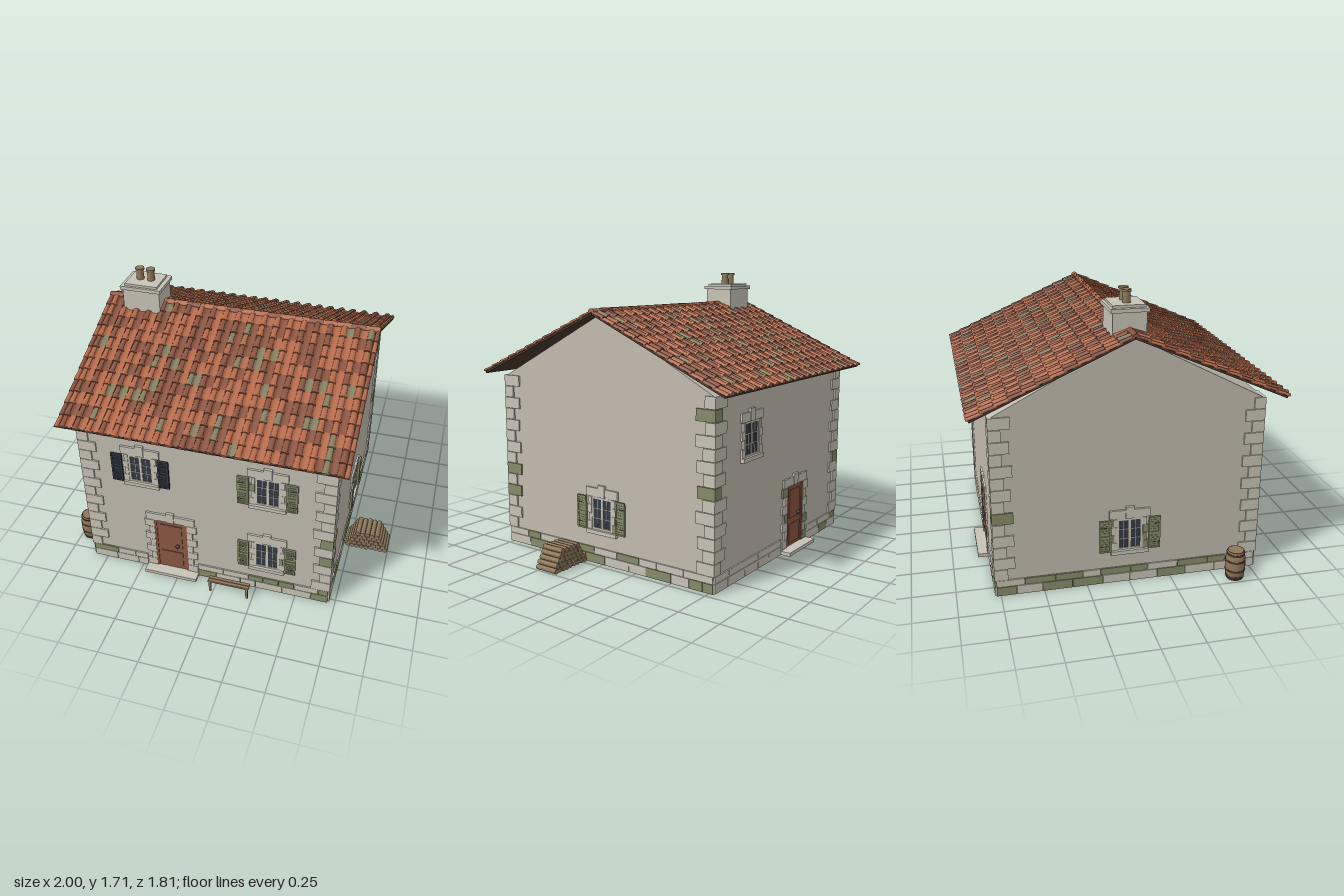
import * as THREE from 'three';
import { mergeGeometries } from 'three/addons/utils/BufferGeometryUtils.js';

const mat = (name, color, extra = {}) => Object.assign(new THREE.MeshStandardMaterial({ color, ...extra }), { name });
const shell = { side: THREE.DoubleSide };

export function createModel() {
  const M = {
    plaster: mat('plaster', 0xc2bbae), stone: mat('stone', 0xc8c3b6), moss: mat('mossGreen', 0x878c69),
    tileA: mat('terracotta', 0xb3694a, shell), tileB: mat('darkTerracotta', 0x8a5340, shell),
    tileC: mat('lichenTile', 0x857d60, shell), wood: mat('wood', 0x8e785a), door: mat('doorPaint', 0x8a5644),
    slate: mat('slateBlue', 0x333b46), dark: mat('darkTimber', 0x4a362b),
  };
  let seed = 7;
  const rnd = () => (seed = (seed * 16807) % 2147483647) / 2147483647;
  const stoneMat = () => (rnd() < 0.1 ? M.moss : M.stone);

  const mesh = (parent, name, geo, material, x = 0, y = 0, z = 0) => {
    const m = new THREE.Mesh(geo, material);
    m.name = name;
    m.position.set(x, y, z);
    parent.add(m);
    return m;
  };
  // box given by its minimum and maximum corners
  const box = (parent, name, material, x0, x1, y0, y1, z0, z1) =>
    mesh(parent, name, new THREE.BoxGeometry(x1 - x0, y1 - y0, z1 - z0), material,
      (x0 + x1) / 2, (y0 + y1) / 2, (z0 + z1) / 2);
  const group = (parent, name, x = 0, y = 0, z = 0, ry = 0) => {
    const g = new THREE.Group();
    g.name = name;
    g.position.set(x, y, z);
    g.rotation.y = ry;
    parent.add(g);
    return g;
  };

  const root = group(new THREE.Group(), 'cottage');
  root.removeFromParent();
  const CX = -0.065, HX = 0.77, HZ = 0.775, RIDGE = 1.485;

  // Gabled walls
  const gable = new THREE.Shape([[-HZ, 0], [HZ, 0], [HZ, 1.08], [0, RIDGE], [-HZ, 1.08]].map(p => new THREE.Vector2(...p)));
  const wallGeo = new THREE.ExtrudeGeometry(gable, { depth: HX * 2, bevelEnabled: false });
  wallGeo.rotateY(-Math.PI / 2).translate(CX + HX, 0, 0);
  mesh(root, 'walls', wallGeo, M.plaster);

  // One group per face, each with its own outward +z
  const front = group(root, 'frontFace', CX, 0, HZ);
  const back = group(root, 'backFace', CX, 0, -HZ, Math.PI);
  const right = group(root, 'rightFace', CX + HX, 0, 0, Math.PI / 2);
  const left = group(root, 'leftFace', CX - HX, 0, 0, -Math.PI / 2);

  // Two plinth courses of random stones
  const plinth = (face, a, b) => {
    [[0, 0.054], [0.057, 0.097]].forEach(([y0, y1]) => {
      let x = a;
      while (x < b - 0.001) {
        let e = x + 0.09 + rnd() * 0.1;
        if (e > b - 0.06) e = b;
        box(face, 'plinthStone', rnd() < 0.3 ? M.moss : M.stone, x + 0.0015, e - 0.0015, y0, y1, -0.01, 0.009);
        x = e;
      }
    });
  };

  // Alternating corner stones
  for (const sx of [-1, 1]) for (const sz of [-1, 1]) {
    const n = 14, h = (1.085 - 0.098) / n;
    for (let i = 0; i < n; i++) {
      const wide = (i + (sx * sz > 0 ? 1 : 0)) % 2;
      const w = (wide ? 0.11 : 0.065) + rnd() * 0.015, d = (wide ? 0.065 : 0.11) + rnd() * 0.015;
      mesh(root, 'cornerStone', new THREE.BoxGeometry(w, h - 0.003, d), stoneMat(),
        CX + sx * (HX + 0.01 - w / 2), 0.098 + (i + 0.5) * h, sz * (HZ + 0.01 - d / 2));
    }
  }

  // Stone surround: alternating jambs, lintel and keystone
  const surround = (g, half, y0, y1, n, narrow, wide, lintel) => {
    const h = (y1 - y0) / n;
    for (const s of [-1, 1]) for (let i = 0; i < n; i++) {
      const w = i % 2 ? narrow : wide, x = s * (half + w / 2);
      box(g, 'jambStone', stoneMat(), x - w / 2, x + w / 2, y0 + i * h + 0.001, y0 + (i + 1) * h - 0.001, -0.01, 0.012);
    }
    for (const s of [-1, 1]) box(g, 'lintel', M.stone, s < 0 ? -lintel : 0.026, s < 0 ? -0.026 : lintel, y1 + 0.002, y1 + 0.055, -0.01, 0.012);
    box(g, 'keystone', M.stone, -0.025, 0.025, y1 + 0.002, y1 + 0.075, -0.01, 0.016);
  };

  const shutter = (g, material, s) => {
    const b = group(g, 'shutter', s * 0.145, 0, 0.012);
    box(b, 'shutterBoard', material, -0.034, 0.034, 0, 0.2, 0, 0.008);
    for (const x of [-0.029, 0.029]) box(b, 'shutterStile', material, x - 0.005, x + 0.005, 0, 0.2, 0.008, 0.013);
    for (const y of [0.005, 0.1, 0.195]) box(b, 'shutterRail', material, -0.024, 0.024, y - 0.005, y + 0.005, 0.008, 0.013);
    for (let i = 0; i < 12; i++) {
      const y = 0.02 + i * 0.0145;
      if (Math.abs(y - 0.1) > 0.008) box(b, 'louvre', material, -0.024, 0.024, y - 0.003, y + 0.003, 0.008, 0.011);
    }
    for (const y of [0.04, 0.16]) box(b, 'hinge', M.slate, s * 0.012 - 0.018, s * 0.012 + 0.018, y - 0.002, y + 0.002, 0.013, 0.015);
  };

  // Window with two casements of three panes each
  const windowAt = (face, x, y, shutterMat) => {
    const g = group(face, 'window', x, y, 0);
    surround(g, 0.077, 0, 0.2, 4, 0.022, 0.036, 0.12);
    box(g, 'sill', M.stone, -0.112, 0.112, -0.024, 0, -0.01, 0.024);
    box(g, 'glass', M.slate, -0.077, 0.077, 0, 0.2, -0.005, 0.003);
    for (const x of [-0.071, 0, 0.071]) box(g, 'windowStile', M.stone, x - 0.007, x + 0.007, 0, 0.2, 0, 0.008);
    for (const y of [0.006, 0.194]) box(g, 'windowRail', M.stone, -0.077, 0.077, y - 0.006, y + 0.006, 0, 0.008);
    for (const y of [0.07, 0.13]) box(g, 'glazingBar', M.stone, -0.077, 0.077, y - 0.0018, y + 0.0018, 0, 0.006);
    for (const x of [-0.035, 0.035]) box(g, 'glazingBar', M.stone, x - 0.0015, x + 0.0015, 0, 0.2, 0, 0.006);
    if (shutterMat) for (const s of [-1, 1]) shutter(g, shutterMat, s);
  };

  const doorAt = (face, x) => {
    const g = group(face, 'doorway', x, 0, 0);
    surround(g, 0.105, 0.025, 0.412, 7, 0.035, 0.062, 0.156);
    box(g, 'door', M.door, -0.105, 0.105, 0.025, 0.412, -0.01, 0.004);
    for (const s of [-1, 1]) box(g, 'doorFrame', M.door, s * 0.098 - 0.007, s * 0.098 + 0.007, 0.025, 0.412, 0.004, 0.009);
    for (const [y0, y1] of [[0.045, 0.165], [0.205, 0.385]]) box(g, 'doorPanel', M.door, -0.07, 0.07, y0, y1, 0.004, 0.009);
    mesh(g, 'doorKnob', new THREE.SphereGeometry(0.013, 12, 8), M.slate, 0.04, 0.225, 0.015);
    box(g, 'doorstep', M.stone, -0.17, 0.17, 0, 0.022, 0, 0.07);
  };

  doorAt(front, -0.23);
  plinth(front, -HX, -0.4);
  plinth(front, -0.062, HX);
  windowAt(front, -0.39, 0.7, M.slate);
  windowAt(front, 0.383, 0.7, M.moss);
  windowAt(front, 0.383, 0.195, M.moss);
  doorAt(back, 0.16);
  plinth(back, -HX, -0.01);
  plinth(back, 0.33, HX);
  windowAt(back, -0.39, 0.7, null);
  for (const face of [right, left]) {
    plinth(face, -HZ, HZ);
    windowAt(face, 0, 0.21, M.moss);
  }

  // Roof: boards with alternating rows of cover and pan tiles
  const ANG = Math.atan(0.395 / 0.885), LEN = 0.969, ROWS = 12, P = LEN / ROWS, COLS = 20;
  const halfRound = (rTop, rLow, len, up) => new THREE.CylinderGeometry(rLow, rTop, len, 6, 1, !up, up ? Math.PI / 2 : -Math.PI / 2, Math.PI).rotateX(Math.PI / 2);
  const cover = halfRound(0.018, 0.023, P * 1.2, true).rotateX(-0.05);
  const pan = halfRound(0.026, 0.023, P * 1.2, false).scale(1, 0.6, 1).rotateX(-0.05);
  const verge = halfRound(0.012, 0.015, P * 1.2, true).rotateX(-0.05);
  const pick = () => { const r = rnd(); return r < 0.55 ? 'tileA' : r < 0.9 ? 'tileB' : 'tileC'; };
  for (const [side, ry] of [['front', 0], ['back', Math.PI]]) {
    const slope = group(group(root, side + 'Roof', CX, RIDGE, 0, ry), 'slope');
    slope.rotation.x = ANG;
    box(slope, 'roofBoard', M.dark, -0.845, 0.845, 0, 0.012, 0, LEN - 0.005);
    const bins = { tileA: [], tileB: [], tileC: [] };
    const put = (geo, x, y, z, key = pick()) => bins[key].push(geo.clone().translate(x, y, z));
    const pitch = 1.6 / COLS;
    for (let r = 0; r < ROWS; r++) {
      for (let c = 0; c <= COLS; c++) {
        const x = -0.8 + c * pitch;
        put(cover, x, 0.014, (r + 0.45) * P);
        if (c < COLS) put(pan, x + pitch / 2, 0.03, (r + 0.3) * P);
      }
      for (const s of [-1, 1]) put(verge, s * 0.835, 0.014, (r + 0.45) * P, r % 2 ? 'tileA' : 'tileB');
    }
    for (const key in bins) mesh(slope, 'roofTiles', mergeGeometries(bins[key]), M[key]);
  }
  const ridgeGeo = halfRound(0.019, 0.022, 0.09, true).rotateY(Math.PI / 2);
  for (let i = 0; i < 20; i++) mesh(root, 'ridgeTile', ridgeGeo, i % 3 ? M.tileA : M.tileB, CX - 0.803 + i * 0.0845, 1.499, 0);

  // Chimney
  const chimney = group(root, 'chimney', -0.668, 0, 0);
  box(chimney, 'chimneyStack', M.stone, -0.117, 0.117, 1.4, 1.605, -0.095, 0.095);
  box(chimney, 'chimneyCap', M.stone, -0.129, 0.129, 1.6, 1.622, -0.107, 0.107);
  box(chimney, 'chimneyTop', M.stone, -0.103, 0.103, 1.622, 1.636, -0.092, 0.092);
  for (const x of [-0.035, 0.035]) {
    mesh(chimney, 'chimneyPot', new THREE.CylinderGeometry(0.021, 0.024, 0.07, 14), M.wood, x, 1.67, 0);
    mesh(chimney, 'potRim', new THREE.CylinderGeometry(0.028, 0.028, 0.012, 14), M.wood, x, 1.703, 0);
  }

  // Barrel
  const barrel = group(root, 'barrel', -0.938, 0, 0.62);
  const staves = [[0, 0], [0.05, 0], [0.057, 0.045], [0.06, 0.09], [0.057, 0.135], [0.05, 0.18], [0.045, 0.18], [0.045, 0.172], [0, 0.172]];
  mesh(barrel, 'staves', new THREE.LatheGeometry(staves.map(p => new THREE.Vector2(...p)), 18), M.wood);
  for (const [y, r] of [[0.018, 0.0545], [0.06, 0.0595], [0.12, 0.0595], [0.162, 0.0545]])
    mesh(barrel, 'hoop', new THREE.CylinderGeometry(r, r, 0.012, 18), M.dark, 0, y, 0);

  // Stacked logs
  const logs = group(root, 'woodpile', 0, 0, 0.195);
  const logGeo = new THREE.CylinderGeometry(0.0155, 0.0155, 0.15, 9).rotateX(Math.PI / 2);
  for (let r = 0; r < 5; r++) for (let i = 0; i < 9 - r; i++) {
    const x = 0.984 - r * 0.0155 - i * 0.031;
    mesh(logs, 'log', logGeo, M.wood, x, 0.0155 + r * 0.0265, (rnd() - 0.5) * 0.006);
  }

  // Bench
  const bench = group(root, 'bench', 0.1, 0, 0.867);
  for (const z of [-0.012, 0.012]) box(bench, 'seatSlat', M.wood, -0.13, 0.13, 0.08, 0.092, z - 0.01, z + 0.01);
  for (const x of [-0.118, 0.118]) {
    box(bench, 'benchLeg', M.wood, x - 0.007, x + 0.007, 0, 0.08, 0.006, 0.02);
    box(bench, 'benchBearer', M.wood, x - 0.007, x + 0.007, 0.07, 0.08, -0.02, 0.006);
  }
  return root;
}
